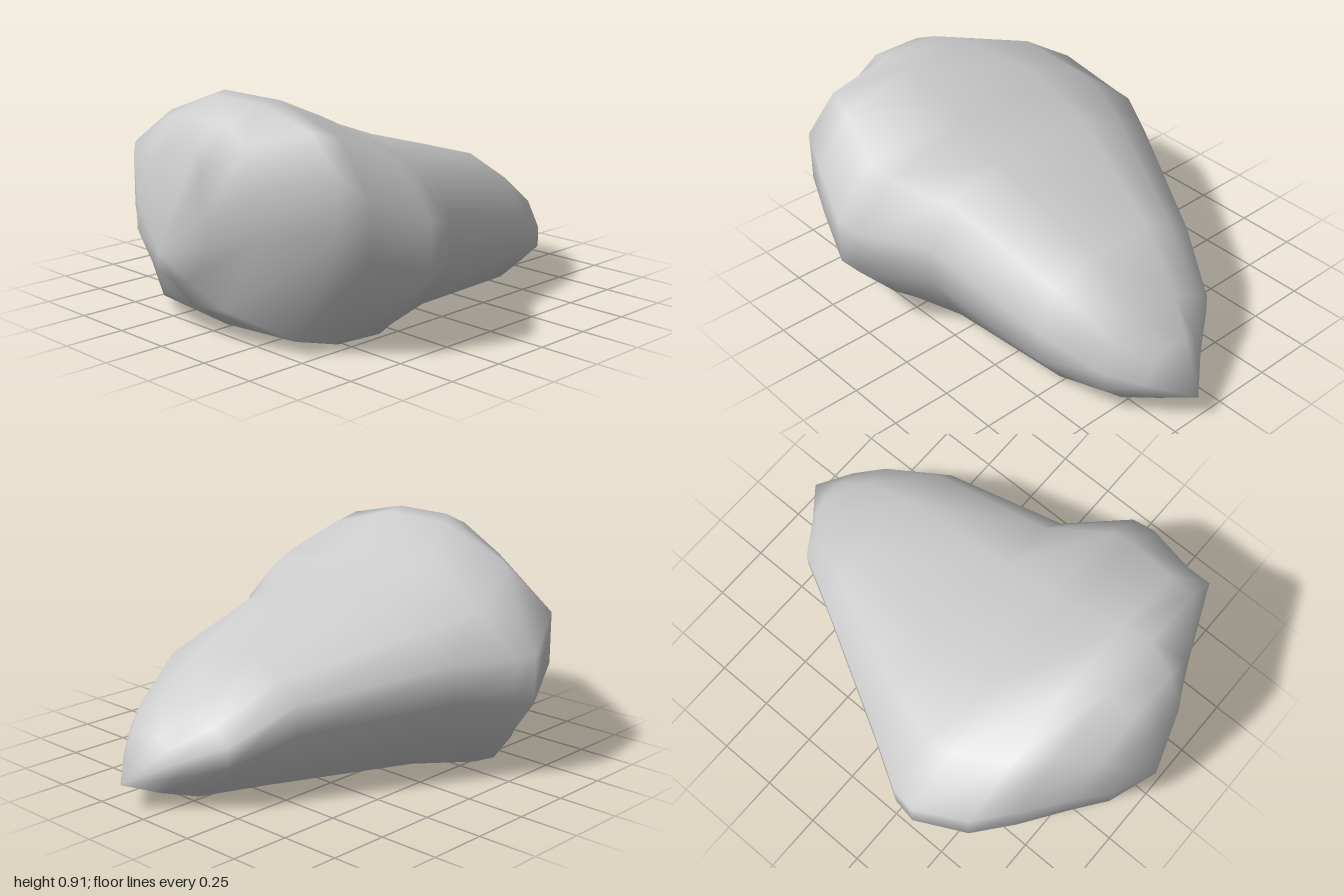
import * as THREE from 'three';
import { mergeVertices } from 'three/addons/utils/BufferGeometryUtils.js';

// Cross-sections along x. Each row:
// x, back z, back y, front z, front y, base y, base back z, base front z, crown y, crown back z, crown front z
const SECTIONS = [
  [-1.0, 0, 0.36, 0, 0.36, 0.36, 0, 0, 0.36, 0, 0],
  [-0.93, -0.22, 0.46, 0.19, 0.46, 0.24, -0.1, 0.08, 0.76, -0.02, 0.14],
  [-0.84, -0.34, 0.48, 0.36, 0.54, 0.12, -0.18, 0.18, 0.85, -0.02, 0.2],
  [-0.71, -0.53, 0.5, 0.65, 0.6, 0.025, -0.36, 0.42, 0.91, -0.02, 0.24],
  [-0.59, -0.68, 0.51, 0.69, 0.5, 0.01, -0.5, 0.52, 0.905, -0.1, 0.22],
  [-0.37, -0.77, 0.4, 0.77, 0.41, 0.0, -0.58, 0.52, 0.815, -0.24, 0.2],
  [-0.27, -0.755, 0.41, 0.76, 0.4, 0.005, -0.56, 0.48, 0.768, -0.26, 0.2],
  [-0.04, -0.62, 0.42, 0.57, 0.36, 0.025, -0.42, 0.43, 0.685, -0.26, 0.2],
  [0.5, -0.32, 0.34, 0.49, 0.24, 0.015, -0.14, 0.38, 0.535, -0.08, 0.2],
  [0.74, -0.19, 0.22, 0.385, 0.16, 0.01, -0.02, 0.28, 0.36, 0.0, 0.2],
  [0.86, -0.03, 0.16, 0.28, 0.13, 0.04, 0.06, 0.2, 0.27, 0.06, 0.16],
  [1.0, 0.13, 0.1, 0.13, 0.1, 0.1, 0.13, 0.13, 0.1, 0.13, 0.13],
];

// Point between a and b, pushed out towards the corner (z, y)
function shoulder(a, b, z, y, bulge) {
  return [
    (a[0] + b[0]) / 2 * (1 - bulge) + z * bulge,
    (a[1] + b[1]) / 2 * (1 - bulge) + y * bulge,
  ];
}

// Closed outline of one section as [z, y] points
function outline([, zb, yb, zf, yf, base, bzb, bzf, top, tzb, tzf]) {
  const flank = (top - base) * 0.12; // half height of the upright sides
  const lip = (top - base) * 0.03; // rise of the base towards its edges
  const backHigh = [zb, yb + flank], frontHigh = [zf, yf + flank];
  const topBack = [tzb, top], topFront = [tzf, top];
  return [
    [(bzb + bzf) / 2, base],
    [bzb, base + lip],
    [zb, yb - flank],
    backHigh,
    shoulder(backHigh, topBack, zb, top, 0.15),
    topBack,
    topFront,
    shoulder(topFront, frontHigh, zf, top, 0.35),
    frontHigh,
    [zf, yf - flank],
    [bzf, base + lip],
  ];
}

export function createModel() {
  const positions = [], index = [];
  SECTIONS.forEach((row, i) => {
    const ring = outline(row);
    const n = ring.length;
    ring.forEach(([z, y]) => positions.push(row[0], y, z));
    if (i === 0) return;
    for (let j = 0; j < n; j++) {
      const k = (j + 1) % n;
      const a = (i - 1) * n + j, b = (i - 1) * n + k, c = i * n + j, d = i * n + k;
      // The end sections are single points, so they need one triangle per side
      if (i > 1) index.push(a, b, c);
      if (i < SECTIONS.length - 1) index.push(b, d, c);
    }
  });

  let geometry = new THREE.BufferGeometry();
  geometry.setAttribute('position', new THREE.Float32BufferAttribute(positions, 3));
  geometry.setIndex(index);
  geometry = mergeVertices(geometry, 1e-4);
  geometry.computeVertexNormals();

  const boulder = new THREE.Mesh(geometry, new THREE.MeshStandardMaterial({ color: 0xcccccc }));
  boulder.name = 'boulder';
  const group = new THREE.Group();
  group.name = 'rock';
  group.add(boulder);
  return group;
}
